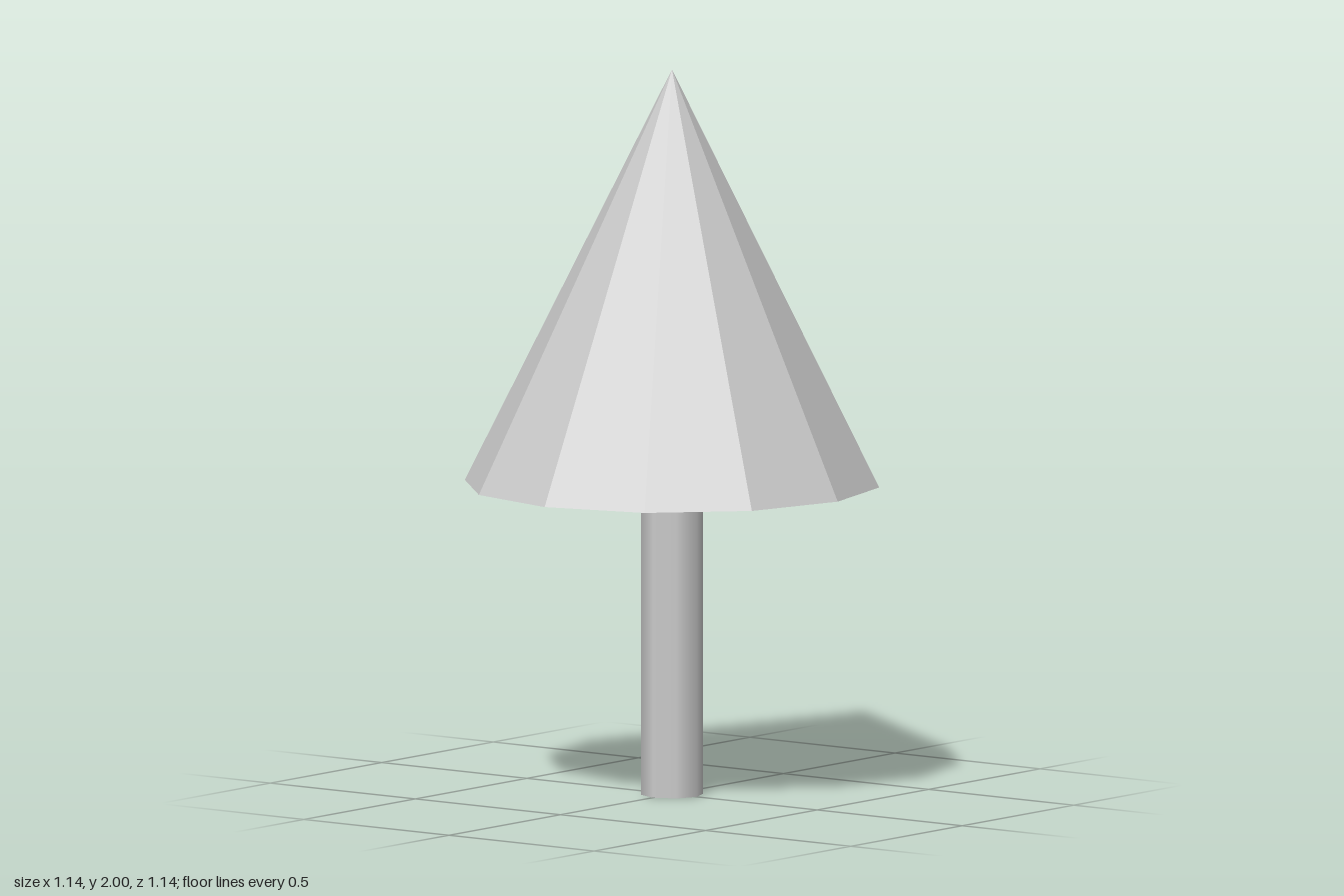
import * as THREE from 'three';

export function createModel() {
  const model = new THREE.Group();
  model.name = 'tree';

  const gray = new THREE.MeshStandardMaterial({ color: 0xcccccc });
  gray.name = 'light gray';

  const trunkHeight = 0.857;
  const crownHeight = 2 - trunkHeight;

  // Slim octagonal trunk with smooth sides
  const trunk = new THREE.Mesh(new THREE.CylinderGeometry(0.0857, 0.0857, trunkHeight, 8), gray);
  trunk.name = 'trunk';
  trunk.position.y = trunkHeight / 2;

  // Twelve-sided faceted crown: unshared corners give each side a flat normal
  const crownShape = new THREE.ConeGeometry(0.571, crownHeight, 12).toNonIndexed();
  crownShape.computeVertexNormals();
  const crown = new THREE.Mesh(crownShape, gray);
  crown.name = 'crown';
  crown.position.y = trunkHeight + crownHeight / 2;

  model.add(trunk, crown);
  return model;
}
